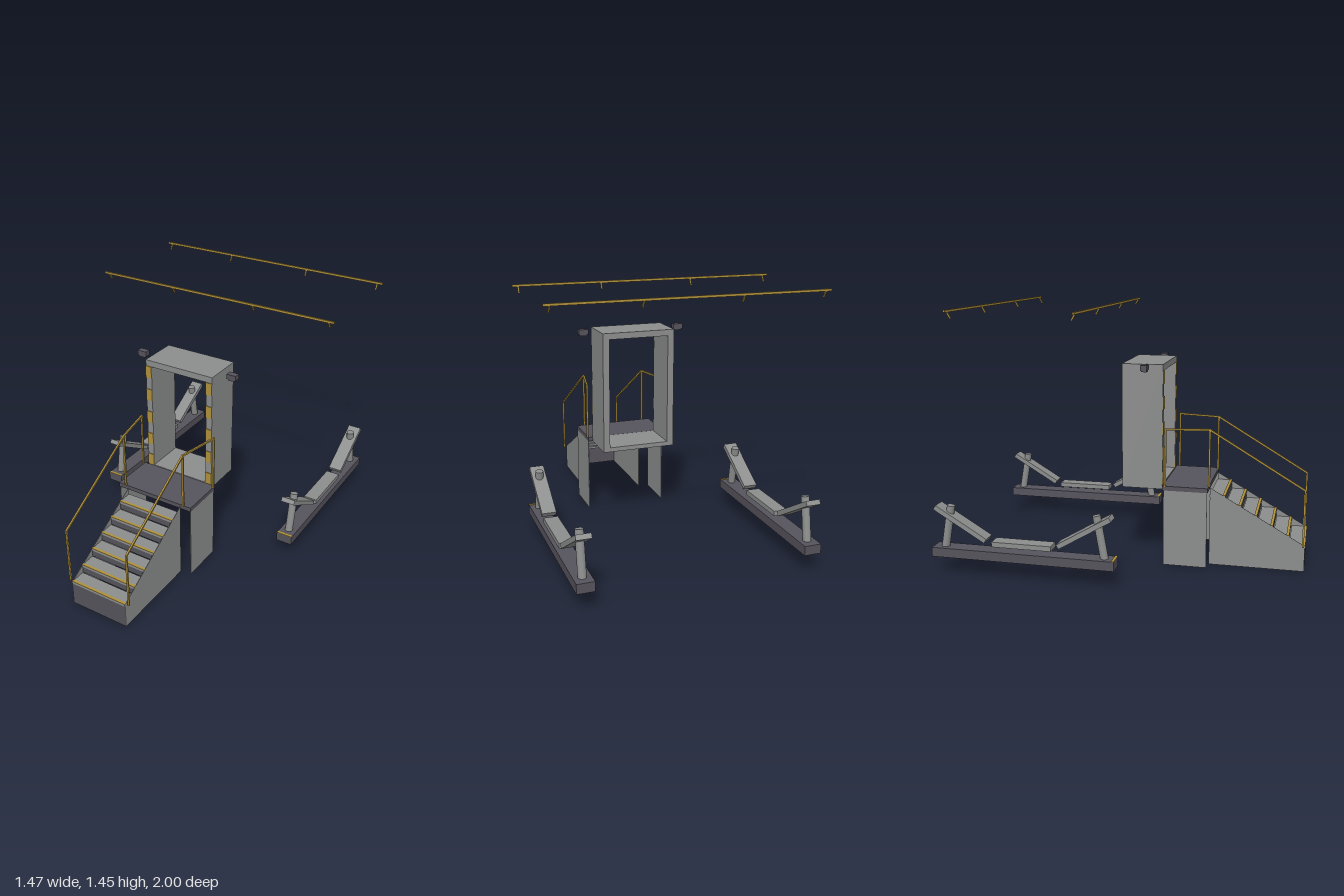
import * as THREE from 'three';

const mat = (name, color, double) => {
  const m = new THREE.MeshStandardMaterial({ color });
  m.name = name;
  if (double) m.side = THREE.DoubleSide;
  return m;
};

export function createModel() {
  const root = new THREE.Group();
  root.name = 'boardingGate';
  const grey = mat('steelGrey', 0x8c8e8d, true);
  const dark = mat('darkSteel', 0x56535c, true);
  const yellow = mat('safetyYellow', 0xb0913a);

  const group = (name, parent = root) => {
    const g = new THREE.Group();
    g.name = name;
    parent.add(g);
    return g;
  };
  // Box given by its extents on each axis
  const box = (name, parent, m, [x0, x1], [y0, y1], [z0, z1]) => {
    const mesh = new THREE.Mesh(new THREE.BoxGeometry(x1 - x0, y1 - y0, z1 - z0), m);
    mesh.position.set((x0 + x1) / 2, (y0 + y1) / 2, (z0 + z1) / 2);
    mesh.name = name;
    parent.add(mesh);
    return mesh;
  };
  // Square bar between two points
  const bar = (name, parent, m, a, b, t = 0.01) => {
    const p = new THREE.Vector3(...a), q = new THREE.Vector3(...b);
    const mesh = new THREE.Mesh(new THREE.BoxGeometry(t, t, p.distanceTo(q) + t * 0.6), m);
    mesh.position.copy(p).lerp(q, 0.5);
    mesh.lookAt(q);
    mesh.name = name;
    parent.add(mesh);
  };

  // Portal: a rectangular tube open front and back
  const portal = group('portal');
  const outline = new THREE.Shape();
  outline.moveTo(-0.215, 0.436).lineTo(0.215, 0.436).lineTo(0.215, 1.138).lineTo(-0.215, 1.138).closePath();
  const opening = new THREE.Path();
  opening.moveTo(-0.177, 0.462).lineTo(-0.177, 1.102).lineTo(0.177, 1.102).lineTo(0.177, 0.462).closePath();
  outline.holes.push(opening);
  const frame = new THREE.Mesh(new THREE.ExtrudeGeometry(outline, { depth: 0.23, bevelEnabled: false }), grey);
  frame.position.z = -0.031;
  frame.name = 'portalFrame';
  portal.add(frame);

  // Hazard stripes on the portal jambs and a camera at each side
  const step = (1.102 - 0.462) / 9;
  for (const s of [-1, 1]) {
    const cx = s * 0.196;
    for (let i = 0; i < 9; i += 2) {
      const y = 0.462 + i * step;
      box('hazardStripe', portal, yellow, [cx - 0.019, cx + 0.019], [y, y + step], [0.199, 0.203]);
    }
    const cam = group('sideCamera', portal);
    box('cameraBody', cam, dark, [s * 0.29 - 0.028, s * 0.29 + 0.028], [1.115, 1.144], [0.094, 0.13]);
    box('cameraFoot', cam, dark, [s * 0.29 - 0.021, s * 0.29 + 0.021], [1.107, 1.115], [0.097, 0.127]);
  }

  // Landing with thin side panels
  const landing = group('landing');
  box('platform', landing, dark, [-0.24, 0.24], [0.436, 0.461], [0.203, 0.459]);
  for (const s of [-1, 1])
    box('landingPanel', landing, grey, [s * 0.237 - 0.002, s * 0.237 + 0.002], [0, 0.436], [0.21, 0.456]);

  // Stairs: sloped cheeks, open underneath
  const stairs = group('stairs');
  const cheek = new THREE.Shape();
  cheek.moveTo(-0.995, 0).lineTo(-0.995, 0.148).lineTo(-0.463, 0.45).lineTo(-0.463, 0).closePath();
  const cheekGeo = new THREE.ExtrudeGeometry(cheek, { depth: 0.003, bevelEnabled: false });
  cheekGeo.rotateY(Math.PI / 2).translate(-0.0015, 0, 0);
  for (const s of [-1, 1]) {
    const c = new THREE.Mesh(cheekGeo, grey);
    c.position.x = s * 0.1745;
    c.name = 'stairCheek';
    stairs.add(c);
  }
  for (let i = 0; i < 6; i++) {
    const top = 0.15 + 0.0515 * i, z = 0.998 - 0.0895 * i;
    const floor = i ? top - 0.0515 : 0;
    box('tread', stairs, grey, [-0.176, 0.176], [top - 0.012, top], [z - 0.0895, z]);
    box('riser', stairs, dark, [-0.173, 0.173], [floor, top - 0.012], [z - 0.007, z - 0.003]);
    box('nosing', stairs, yellow, [-0.176, 0.176], [top, top + 0.003], [z - 0.016, z]);
  }

  // Handrails, flaring outward along the landing
  for (const s of [-1, 1]) {
    const rail = group(s > 0 ? 'leftHandrail' : 'rightHandrail');
    const x = s * 0.193, xo = s * 0.241;
    bar('lowerPost', rail, yellow, [x, 0.15, 0.985], [x, 0.472, 0.985]);
    bar('middlePost', rail, yellow, [x, 0.461, 0.46], [x, 0.784, 0.46]);
    bar('rearPost', rail, yellow, [xo, 0.461, 0.22], [xo, 0.784, 0.22]);
    bar('slopedRail', rail, yellow, [x, 0.472, 0.985], [x, 0.784, 0.46]);
    bar('landingRail', rail, yellow, [x, 0.784, 0.46], [xo, 0.784, 0.22]);
  }

  // Support cradles on either side, symmetric front to back
  const midZ = -0.485;
  for (const s of [-1, 1]) {
    const cradle = group(s > 0 ? 'leftCradle' : 'rightCradle');
    cradle.position.set(s * 0.61, 0, midZ);
    box('baseBeam', cradle, dark, [-0.047, 0.047], [0.1, 0.152], [-0.515, 0.515]);
    box('beamEndMark', cradle, yellow, [-0.047, 0.047], [0.152, 0.155], [0.5, 0.515]);
    box('middlePlate', cradle, grey, [-0.04, 0.04], [0.179, 0.207], [-0.168, 0.168]);
    for (const e of [-1, 1]) {
      const plate = box('slopedPlate', cradle, grey, [-0.04, 0.04], [0.28, 0.307], [e * 0.348 - 0.168, e * 0.348 + 0.168]);
      plate.rotation.x = -e * 0.535;
      const a = new THREE.Vector3(0, 0.145, e * 0.453), b = new THREE.Vector3(0, 0.386, e * 0.411);
      const strut = new THREE.Mesh(new THREE.CylinderGeometry(0.022, 0.022, a.distanceTo(b), 20), grey);
      strut.position.copy(a).lerp(b, 0.5);
      strut.quaternion.setFromUnitVectors(new THREE.Vector3(0, 1, 0), b.clone().sub(a).normalize());
      strut.name = 'strut';
      cradle.add(strut);
    }
  }

  // Overhead rails with inward-leaning hangers
  for (const e of [-1, 1]) {
    const rail = group(e > 0 ? 'frontOverheadRail' : 'rearOverheadRail');
    const z = midZ + e * 0.34;
    box('railBar', rail, yellow, [-0.737, 0.737], [1.438, 1.45], [z - 0.005, z + 0.005]);
    for (const x of [-0.706, -0.258, 0.258, 0.706])
      bar('hanger', rail, yellow, [x, 1.442, z], [x, 1.408, z - e * 0.019], 0.008);
  }
  return root;
}
